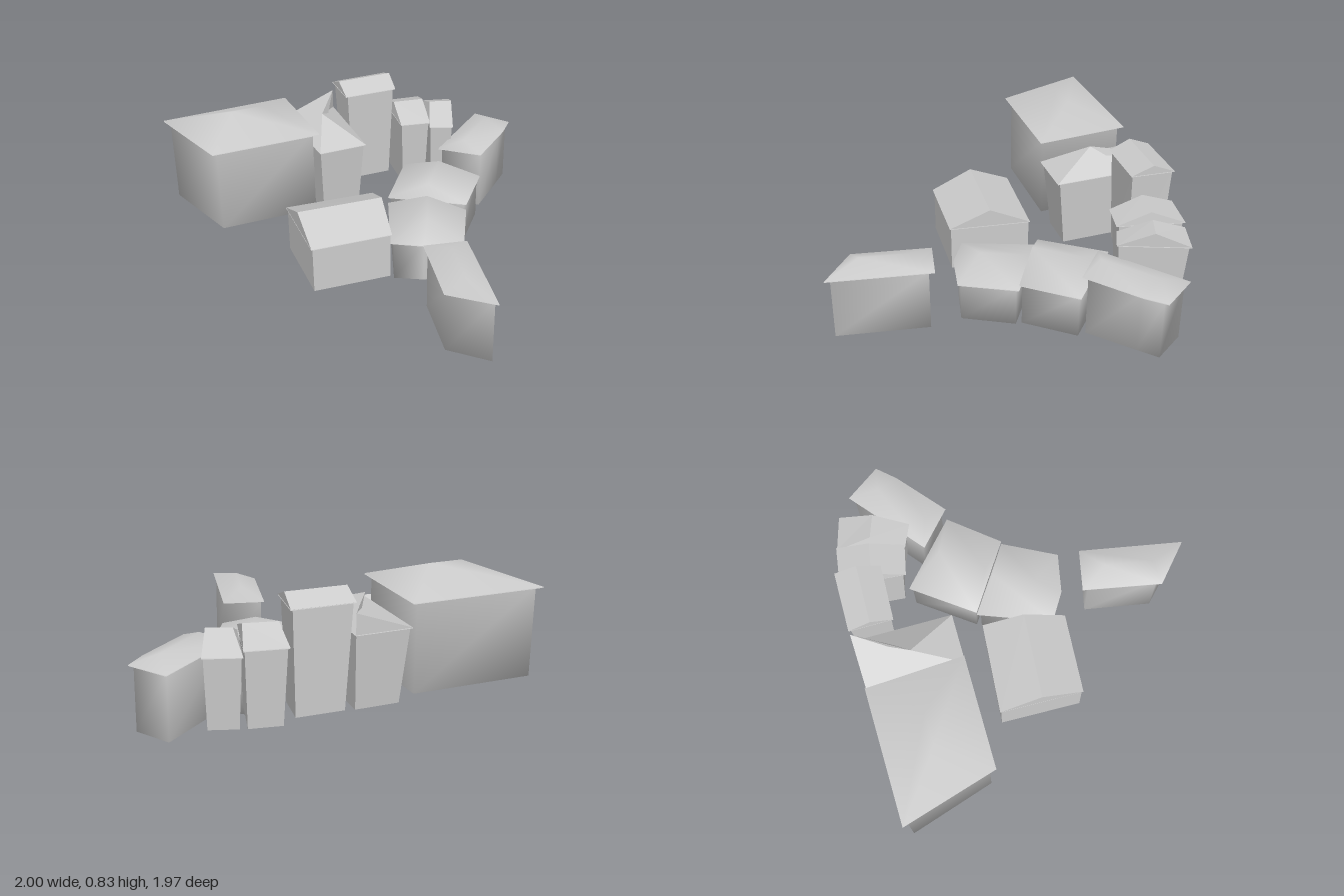
import * as THREE from 'three';

const lerp = (a, b, t) => a.map((v, i) => v + (b[i] - v) * t);
const at = (points, y) => points.flatMap(([x, z]) => [x, y, z]);

// Pull every corner towards the middle of the outline.
function inset(points, d) {
  const middle = [0, 1].map(i => points.reduce((s, p) => s + p[i], 0) / points.length);
  return points.map(p => lerp(p, middle, d / Math.hypot(middle[0] - p[0], middle[1] - p[1])));
}

function makeMesh(name, positions, index, smooth) {
  const g = new THREE.BufferGeometry();
  g.setAttribute('position', new THREE.Float32BufferAttribute(positions, 3));
  g.setIndex(index);
  g.computeVertexNormals();
  const mesh = new THREE.Mesh(g, new THREE.MeshStandardMaterial({
    color: 0xcccccc, flatShading: !smooth, side: THREE.DoubleSide }));
  mesh.name = name;
  return mesh;
}

// Fan over a clockwise outline, facing down.
function floorFaces(n) {
  const index = [];
  for (let i = 1; i < n - 1; i++) index.push(0, i, i + 1);
  return index;
}

// A house spans two end walls, each a pair of [x, z] eave corners.
// The ridge joins the wall middles, cut back by the two hip fractions.
function makeHouse(name, start, end, options) {
  const { base, eave, top, hips = [0, 1], over = 0.015, taper = 0, smooth = false, bend, bendAt, peaks } = options;
  const house = new THREE.Group();
  house.name = name;

  const outline = [start[0], end[0], end[1], start[1]];
  const ends = [0, 1, 1, 0];
  if (bend) {
    outline.splice(bendAt, 0, bend);
    ends.splice(bendAt, 0, ends[bendAt - 1]);
  }
  const n = outline.length;
  const [from, to] = [start, end].map(([p, q]) => lerp(p, q, 0.5));
  const ridge = peaks ?? hips.map(t => lerp(from, to, t));

  // Walls and floor, and roof slopes from the eaves to the ridge
  const upper = inset(outline, over), lower = inset(outline, over + taper);
  const wallIndex = floorFaces(n), roofIndex = [];
  for (let a = 0; a < n; a++) {
    const b = (a + 1) % n, ra = n + ends[a], rb = n + ends[b];
    wallIndex.push(b, a, n + a, b, n + a, n + b);
    roofIndex.push(b, a, rb);
    if (ra !== rb) roofIndex.push(rb, a, ra);
  }
  house.add(makeMesh('walls', [...at(lower, base), ...at(upper, eave)], wallIndex, smooth));
  house.add(makeMesh('roof', [...at(outline, eave), ...at(ridge, top)], roofIndex, smooth));

  // Underside of the eaves
  house.add(makeMesh('eaves', at(outline, eave - 0.004), floorFaces(n), false));
  return house;
}

export function createModel() {
  const model = new THREE.Group();
  model.name = 'villageHouses';
  const add = (...args) => model.add(makeHouse(...args));

  // Back row: shared party walls from back to front
  const w0 = [[-1, -0.99], [-0.9, -0.47]];
  const w1 = [[-0.28, -0.94], [-0.3, -0.415]];
  const w2 = [[0.02, -0.92], [-0.03, -0.39]];
  const w3 = [[0.345, -0.89], [0.28, -0.54]];
  const w4 = [[0.56, -0.84], [0.445, -0.49]];
  const w5 = [[0.74, -0.77], [0.565, -0.425]];
  const shorten = ([p, q], t) => [p, lerp(p, q, t)];

  add('largeHouse', w0, w1, { base: 0.25, eave: 0.73, top: 0.835, hips: [0.39, 0.65], over: 0.04, smooth: true });
  // Front slope rises to a peak; the ridge runs on to the back corner
  add('cornerHouse', [w1[1], w2[1]], [w1[0], w2[0]],
    { base: 0.2, eave: 0.61, top: 0.72, taper: 0.05, peaks: [[-0.17, -0.66], w2[0]] });
  add('tallHouse', shorten(w2, 0.44), shorten(w3, 0.68), { base: 0.22, eave: 0.775, top: 0.825, taper: 0.03 });
  add('narrowHouse', w3, w4, { base: 0.18, eave: 0.59, top: 0.66, hips: [0.05, 0.95], taper: 0.03 });
  add('endHouse', w4, w5, { base: 0.18, eave: 0.56, top: 0.64, hips: [0.2, 1], taper: 0.03 });

  // Detached houses
  add('courtyardHouse', [[-0.56, -0.325], [-0.615, 0.13]], [[-0.07, -0.24], [-0.18, 0.2]],
    { base: 0.12, eave: 0.385, top: 0.485, over: 0.01 });
  add('frontHouse', [[-0.2, 0.775], [-0.01, 0.98]], [[-0.075, 0.35], [0.15, 0.42]],
    { base: 0, eave: 0.37, top: 0.425, hips: [0.23, 0.75], over: 0.035, smooth: true });

  // Curved front row: party walls from the courtyard side outwards
  const r0 = [[-0.16, 0.14], [0.2, 0.315]];
  const r1 = [[0.03, -0.24], [0.38, 0.04]];
  const r2 = [[0.3, -0.54], [0.62, -0.2]];
  const r3 = [[0.88, -0.68], [1, -0.48]];

  add('lowHouse', r0, r1, { base: 0.055, eave: 0.29, top: 0.37, hips: [0.3, 0.95], over: 0.025,
    smooth: true, bend: [-0.015, 0.25], bendAt: 4 });
  add('middleHouse', r1, r2, { base: 0.07, eave: 0.325, top: 0.425, hips: [0.05, 0.8], over: 0.02, smooth: true });
  add('sideHouse', [lerp(...r2, 0.45), r2[1]], r3, { base: 0.11, eave: 0.465, top: 0.515, hips: [0.12, 0.78],
    over: 0.03, smooth: true, bend: [0.9, -0.39], bendAt: 3 });
  return model;
}
